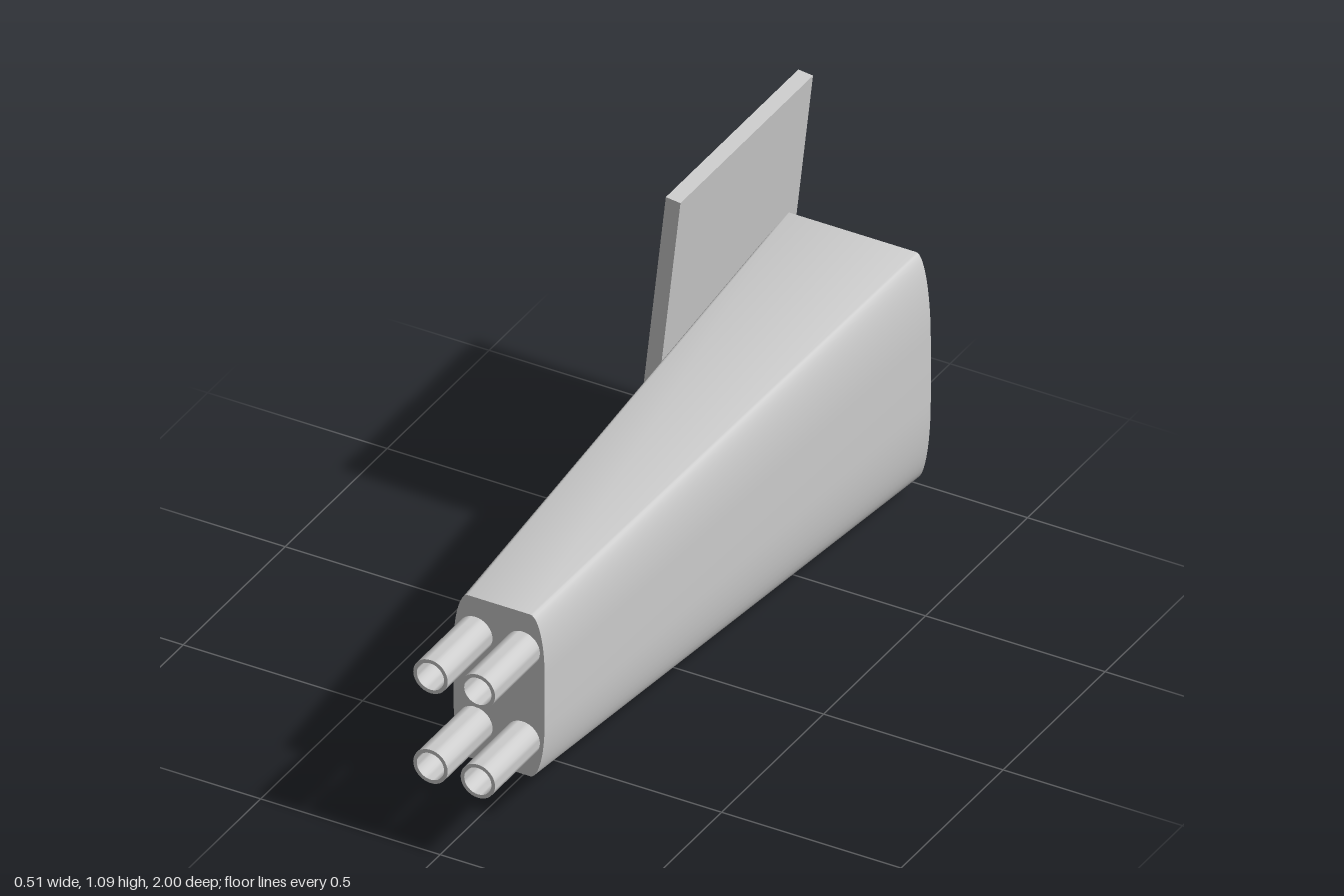
import * as THREE from 'three';
import { toCreasedNormals } from 'three/addons/utils/BufferGeometryUtils.js';

const grey = new THREE.MeshStandardMaterial({ color: 0xcccccc });

// Outline with flat top and bottom and long elliptical corners (counter-clockwise from the front)
function section(halfW, halfH, rx, ry, segments = 12) {
  const points = [];
  const corners = [[1, 1], [-1, 1], [-1, -1], [1, -1]];
  corners.forEach(([sx, sy], q) => {
    for (let i = 0; i <= segments; i++) {
      const a = (q + i / segments) * Math.PI / 2;
      points.push([
        sx * (halfW - rx) + rx * Math.cos(a),
        sy * (halfH - ry) + ry * Math.sin(a),
      ]);
    }
  });
  return points;
}

// Closed loft between a front and a back section
function loft(front, back, zFront, zBack) {
  const n = front.length;
  const positions = [];
  const index = [];
  front.forEach(([x, y]) => positions.push(x, y, zFront));
  back.forEach(([x, y]) => positions.push(x, y, zBack));
  positions.push(0, 0, zFront, 0, 0, zBack);
  for (let i = 0; i < n; i++) {
    const j = (i + 1) % n;
    index.push(i, n + i, n + j, i, n + j, j);
    index.push(2 * n, i, j, 2 * n + 1, n + j, n + i);
  }
  const geometry = new THREE.BufferGeometry();
  geometry.setAttribute('position', new THREE.Float32BufferAttribute(positions, 3));
  geometry.setIndex(index);
  return toCreasedNormals(geometry, 0.6);
}

export function createModel() {
  const group = new THREE.Group();
  const add = (name, geometry, x, y, z) => {
    const mesh = new THREE.Mesh(geometry, grey);
    mesh.name = name;
    mesh.position.set(x, y, z);
    group.add(mesh);
    return mesh;
  };

  // Tapered housing, widening towards the back
  const front = section(0.127, 0.234, 0.04, 0.16);
  const back = section(0.217, 0.326, 0.04, 0.24);
  add('housing', loft(front, back, 0.78, -0.955), 0.039, 0.377, 0);

  // Four hollow barrels on the front face
  const outer = 0.048, inner = 0.038, start = -0.005, length = 0.22;
  const profile = [[inner, start], [outer, start], [outer, length], [inner, length], [inner, start]]
    .map(([r, h]) => new THREE.Vector2(r, h));
  const barrel = toCreasedNormals(new THREE.LatheGeometry(profile, 32), 0.6);
  barrel.rotateX(Math.PI / 2);
  for (const [row, y] of [['upper', 0.507], ['lower', 0.247]]) {
    for (const [side, x] of [['Right', -0.027], ['Left', 0.105]]) {
      add(`${row}${side}Barrel`, barrel, x, y, 0.78);
    }
  }

  // Thin leaning plate on the right side
  const plate = add('sidePlate', new THREE.BoxGeometry(0.041, 1.093, 0.65), -0.178, 0.546, -0.675);
  plate.rotation.z = -0.11;

  return group;
}
